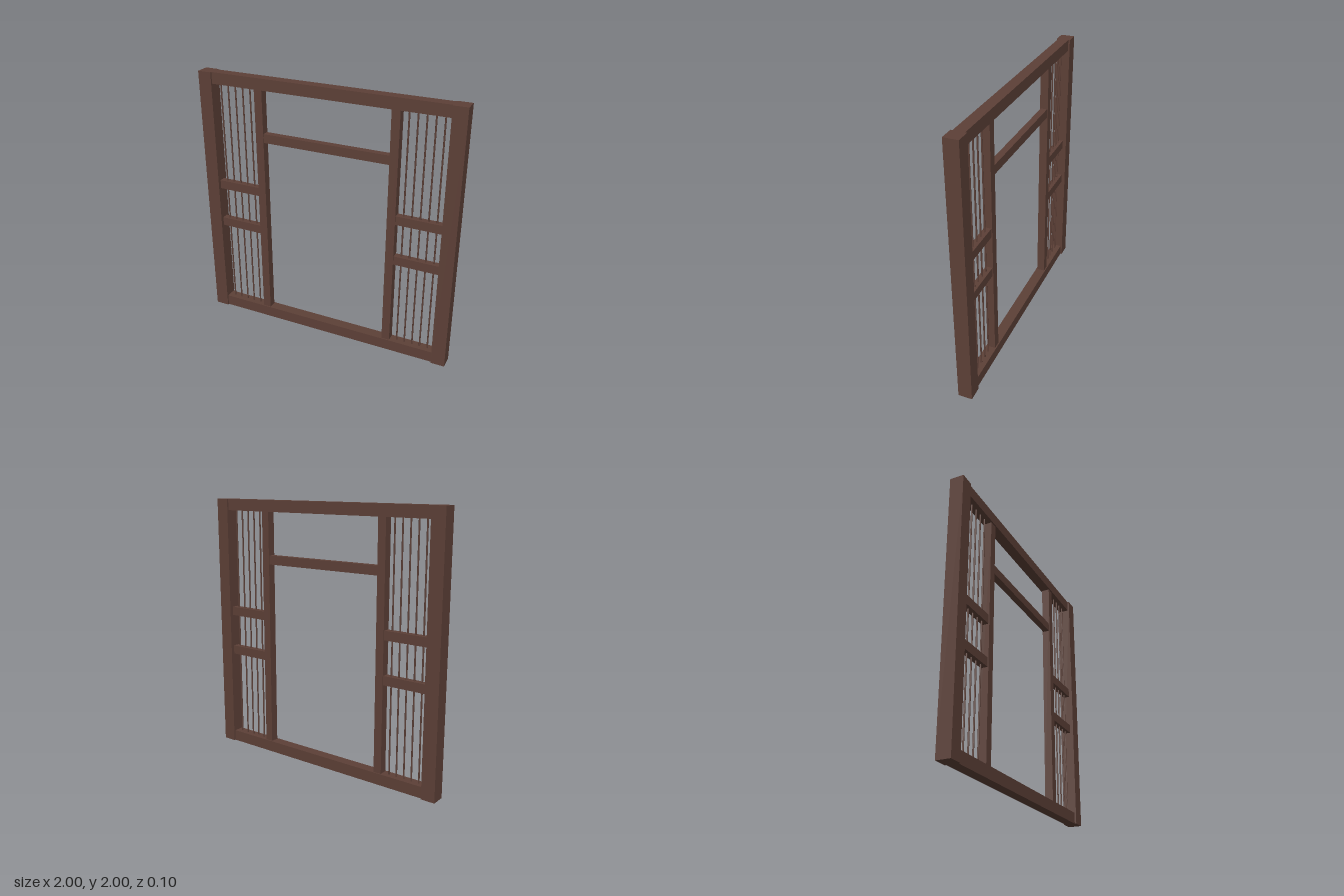
import * as THREE from 'three';

export function createModel() {
  const model = new THREE.Group();
  model.name = 'doorFrame';
  const wood = new THREE.MeshStandardMaterial({ color: 0x5d4037 });
  wood.name = 'darkWood';

  const beam = (name, parent, w, h, d, x, y) => {
    const mesh = new THREE.Mesh(new THREE.BoxGeometry(w, h, d), wood);
    mesh.name = name;
    mesh.position.set(x, y, 0);
    parent.add(mesh);
  };

  // Sill, head rail and transom bar
  beam('sill', model, 1.79, 0.086, 0.08, 0, 0.043);
  beam('headRail', model, 1.79, 0.086, 0.08, 0, 1.957);
  beam('transomBar', model, 0.978, 0.068, 0.05, 0, 1.552);

  // Mirrored side panels
  for (const [label, s] of [['left', 1], ['right', -1]]) {
    const side = new THREE.Group();
    side.name = label + 'SidePanel';
    model.add(side);

    beam(label + 'Post', side, 0.105, 2, 0.105, s * 0.9475, 1);
    beam(label + 'Jamb', side, 0.062, 1.828, 0.062, s * 0.52, 1);
    beam(label + 'LowerRail', side, 0.344, 0.068, 0.05, s * 0.723, 0.787);
    beam(label + 'UpperRail', side, 0.344, 0.068, 0.05, s * 0.723, 1.11);

    // Thin round spindles
    for (let i = 0; i < 5; i++) {
      const spindle = new THREE.Mesh(new THREE.CylinderGeometry(0.006, 0.006, 1.828, 10), wood);
      spindle.name = label + 'Spindle' + (i + 1);
      spindle.position.set(s * (0.602 + i * 0.061), 1, 0);
      side.add(spindle);
    }
  }
  return model;
}
